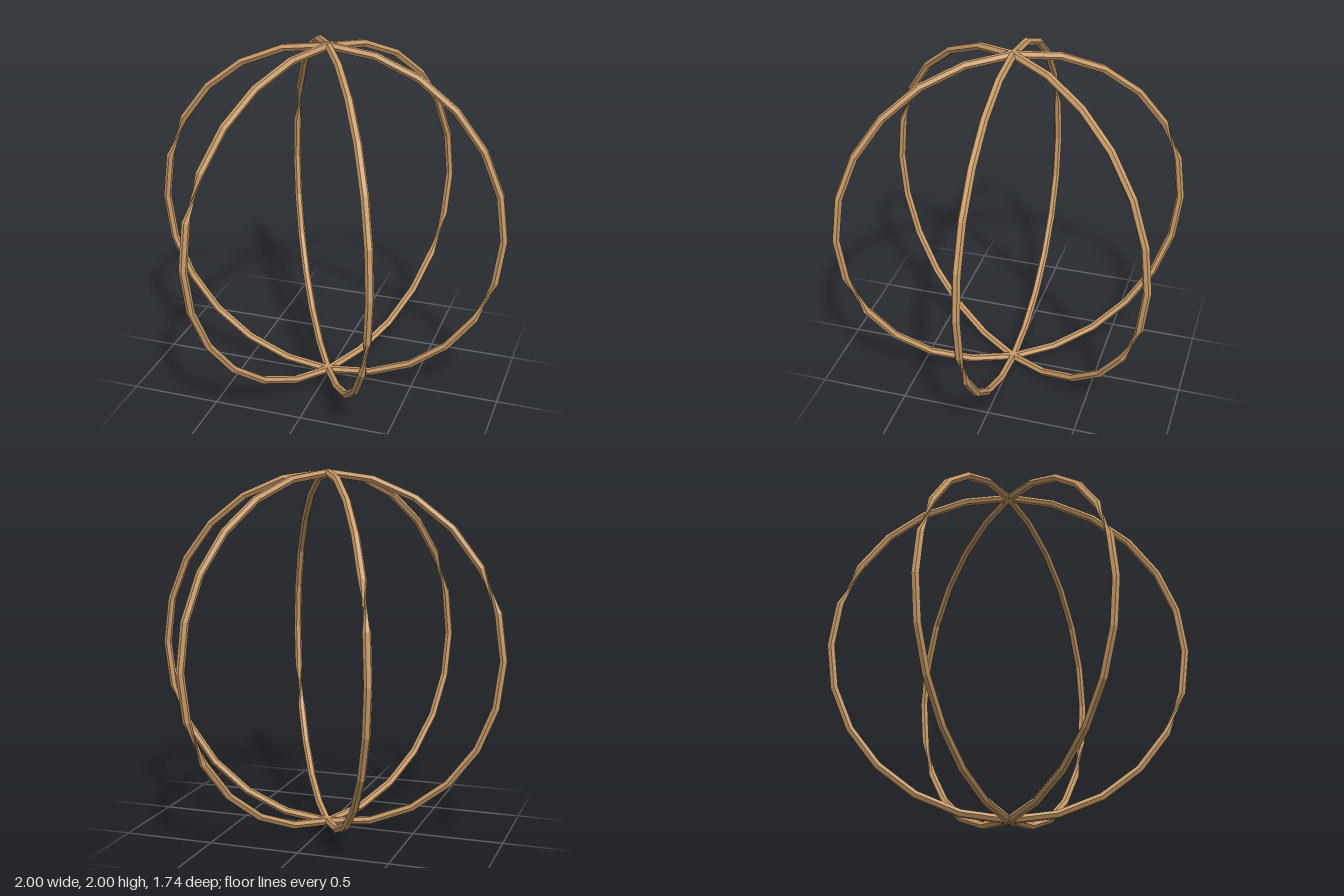
import * as THREE from 'three';

const SEGMENTS = 24;      // straight pieces around each hoop
const SIDES = 6;          // hexagonal rod
const HOOP_RADIUS = 0.979;
const ROD_RADIUS = 0.0225;

// Upright hoop in the XY plane; the rod's section flips half a turn
// across two opposite segments, which pinches it there.
function hoopGeometry() {
  const positions = [];
  const index = [];
  for (let i = 0; i < SEGMENTS; i++) {
    const theta = (i / SEGMENTS) * Math.PI * 2;
    const flip = i >= 11 && i <= 22 ? Math.PI : 0;
    for (let j = 0; j < SIDES; j++) {
      const phi = (j / SIDES) * Math.PI * 2 + flip;
      const r = HOOP_RADIUS + ROD_RADIUS * Math.sin(phi);
      positions.push(r * Math.cos(theta), r * Math.sin(theta), ROD_RADIUS * Math.cos(phi));
    }
  }
  for (let i = 0; i < SEGMENTS; i++) {
    const next = (i + 1) % SEGMENTS;
    for (let j = 0; j < SIDES; j++) {
      const k = (j + 1) % SIDES;
      const a = i * SIDES + j, b = i * SIDES + k;
      const c = next * SIDES + k, d = next * SIDES + j;
      index.push(a, b, d, b, c, d);
    }
  }
  const geometry = new THREE.BufferGeometry();
  geometry.setAttribute('position', new THREE.Float32BufferAttribute(positions, 3));
  geometry.setIndex(index);
  const flat = geometry.toNonIndexed();
  flat.computeVertexNormals();
  return flat;
}

export function createModel() {
  const model = new THREE.Group();
  model.name = 'hoopSphere';
  const wood = new THREE.MeshStandardMaterial({
    color: 0xc89b68, flatShading: true, side: THREE.DoubleSide,
  });
  const geometry = hoopGeometry();

  // Three hoops crossing at the poles, 60 degrees apart
  const turns = { middleHoop: 0, leftHoop: Math.PI / 3, rightHoop: -Math.PI / 3 };
  for (const [name, turn] of Object.entries(turns)) {
    const hoop = new THREE.Mesh(geometry, wood);
    hoop.name = name;
    hoop.position.y = 1;
    hoop.rotation.y = turn;
    model.add(hoop);
  }
  return model;
}
